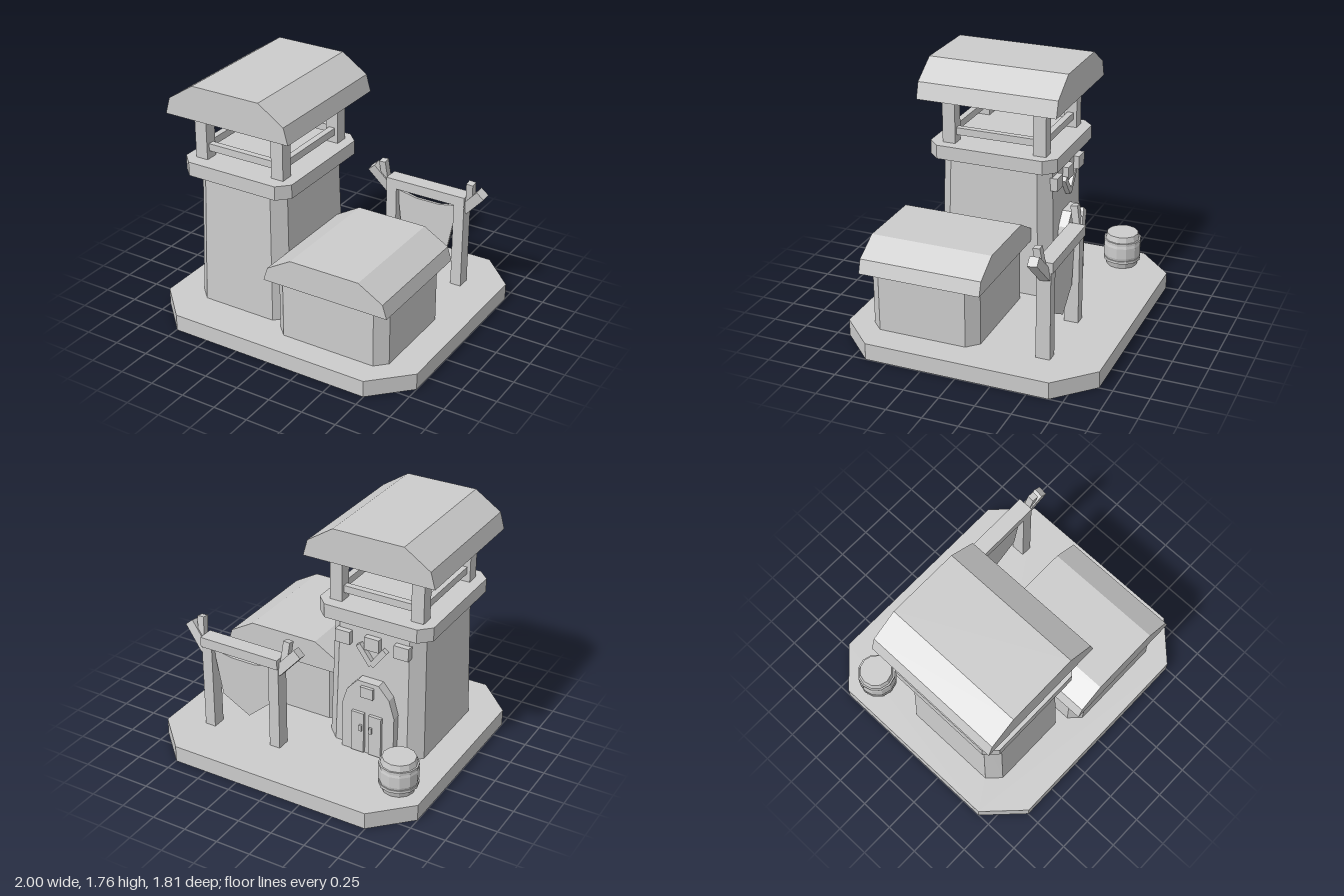
import * as THREE from 'three';

const stone = new THREE.MeshStandardMaterial({ color: 0xcccccc, flatShading: true, side: THREE.DoubleSide });
stone.name = 'pale grey';

function add(parent, name, geometry, x = 0, y = 0, z = 0) {
  const m = new THREE.Mesh(geometry, stone);
  m.name = name;
  m.position.set(x, y, z);
  parent.add(m);
  return m;
}

// Box given by its limits on each axis
function box(parent, name, x0, x1, y0, y1, z0, z1) {
  return add(parent, name, new THREE.BoxGeometry(x1 - x0, y1 - y0, z1 - z0),
    (x0 + x1) / 2, (y0 + y1) / 2, (z0 + z1) / 2);
}

function extrude(points, depth) {
  const shape = new THREE.Shape(points.map(([x, y]) => new THREE.Vector2(x, y)));
  return new THREE.ExtrudeGeometry(shape, { depth, bevelEnabled: false });
}

// Upright block with cut corners; the top may be narrower than the foot
function cutBlock(w, d, cut, height, topX = 1, topZ = 1) {
  const a = w - cut, b = d - cut;
  const g = extrude([[a, -d], [w, -b], [w, b], [a, d], [-a, d], [-w, b], [-w, -b], [-a, -d]], height);
  g.rotateX(-Math.PI / 2);
  const p = g.attributes.position;
  for (let i = 0; i < p.count; i++) {
    if (p.getY(i) > height / 2) {
      p.setX(i, p.getX(i) * topX);
      p.setZ(i, p.getZ(i) * topZ);
    }
  }
  g.computeVertexNormals();
  return g;
}

// Drops the triangles lying flat on the ground, leaving the block hollow underneath
function openBelow(block) {
  const p = block.attributes.position, kept = [];
  for (let i = 0; i < p.count; i += 3) {
    if (p.getY(i) + p.getY(i + 1) + p.getY(i + 2) < 1e-4) continue;
    for (let k = i; k < i + 3; k++) kept.push(p.getX(k), p.getY(k), p.getZ(k));
  }
  const g = new THREE.BufferGeometry();
  g.setAttribute('position', new THREE.Float32BufferAttribute(kept, 3));
  g.computeVertexNormals();
  return g;
}

// Roof with two slopes on each side and a flat top, running along z
function roof(parent, name, cx, half, y, heights, z0, z1) {
  const [e, k, t] = half, [y1, y2] = heights;
  const g = extrude([[-e, y], [e, y], [k, y1], [t, y2], [-t, y2], [-k, y1]], z1 - z0);
  return add(parent, name, g, cx, 0, z0);
}

// Squared timber running between two points
function timber(parent, name, from, to, width, depth) {
  const a = new THREE.Vector3(...from), b = new THREE.Vector3(...to);
  const m = add(parent, name, new THREE.BoxGeometry(width, a.distanceTo(b), depth));
  m.position.copy(a).add(b).multiplyScalar(0.5);
  m.quaternion.setFromUnitVectors(new THREE.Vector3(0, 1, 0), b.sub(a).normalize());
  return m;
}

function group(root, name) {
  const g = new THREE.Group();
  g.name = name;
  root.add(g);
  return g;
}

export function createModel() {
  const root = new THREE.Group();
  root.name = 'watchtower';
  add(root, 'base', openBelow(cutBlock(1, 0.907, 0.253, 0.12)));

  // Tower with platform, open lookout and roof
  const tower = group(root, 'tower');
  const cx = -0.425, cz = 0.18;
  add(tower, 'towerWalls', cutBlock(0.365, 0.432, 0.088, 0.96, 0.94, 0.935), cx, 0.12, cz);
  add(tower, 'platform', cutBlock(0.425, 0.473, 0.081, 0.1), cx, 1.08, cz);
  for (const s of [-1, 1]) {
    for (const t of [-1, 1]) {
      add(tower, 'lookoutPost', new THREE.BoxGeometry(0.092, 0.34, 0.094), cx + s * 0.303, 1.35, cz - 0.005 + t * 0.337);
    }
    add(tower, 'sideRail', new THREE.BoxGeometry(0.045, 0.052, 0.59), cx + s * 0.303, 1.264, cz - 0.005);
    add(tower, 'crossRail', new THREE.BoxGeometry(0.53, 0.052, 0.045), cx, 1.264, cz - 0.005 + s * 0.337);
  }
  roof(tower, 'towerRoof', cx, [0.48, 0.447, 0.258], 1.52, [1.637, 1.762], -0.33, 0.69);

  // Arched doorway on the back of the tower
  const door = group(root, 'doorway');
  add(door, 'doorFrame', extrude([[-0.2, 0.12], [0.2, 0.12], [0.2, 0.46], [0.16, 0.59], [0.08, 0.68],
    [-0.08, 0.68], [-0.16, 0.59], [-0.2, 0.46]], 0.13), cx, 0, -0.305);
  box(door, 'keystone', cx - 0.047, cx + 0.047, 0.57, 0.65, -0.328, -0.3);
  for (const s of [-1, 1]) {
    add(door, 'doorLeaf', new THREE.BoxGeometry(0.095, 0.31, 0.03), cx + s * 0.066, 0.285, -0.312);
    add(door, 'doorHandle', new THREE.BoxGeometry(0.02, 0.045, 0.02), cx + s * 0.038, 0.33, -0.333);
    timber(door, 'wallBrace', [cx, 0.795, -0.252], [cx + s * 0.1, 0.93, -0.252], 0.04, 0.035);
  }
  for (const i of [-1, 0, 1]) {
    box(door, 'wallBlock', cx + i * 0.22 - 0.055, cx + i * 0.22 + 0.055, 0.905, 1, -0.267, -0.19);
  }

  // Low house
  const house = group(root, 'house');
  add(house, 'houseWalls', cutBlock(0.425, 0.393, 0.078, 0.42), 0.365, 0.12, 0.333);
  roof(house, 'houseRoof', 0.365, [0.468, 0.437, 0.257], 0.538, [0.635, 0.74], -0.105, 0.77);

  // Gate frame with forked ends
  const frame = group(root, 'bannerFrame');
  const fx = 0.427;
  box(frame, 'beam', fx - 0.308, fx + 0.308, 0.752, 0.825, -0.573, -0.458);
  for (const s of [-1, 1]) {
    add(frame, 'framePost', new THREE.BoxGeometry(0.08, 0.635, 0.1), fx + s * 0.268, 0.4375, -0.51);
    timber(frame, 'forkArm', [fx + s * 0.29, 0.72, -0.52], [fx + s * 0.432, 0.88, -0.488], 0.07, 0.07);
    timber(frame, 'forkTip', [fx + s * 0.335, 0.8, -0.505], [fx + s * 0.345, 0.943, -0.482], 0.05, 0.05);
  }

  // Torn hanging cloth
  add(frame, 'banner', extrude([[0.19, 0.73], [0.225, 0.42], [0.39, 0.275], [0.6, 0.39],
    [0.665, 0.73], [0.52, 0.7], [0.34, 0.7]], 0.02), 0, 0, -0.52);

  // Barrel with two hoops
  const barrel = group(root, 'barrel');
  barrel.position.set(-0.798, 0.12, -0.545);
  const lathe = (pts) => new THREE.LatheGeometry(pts.map(([r, y]) => new THREE.Vector2(r, y)), 12);
  add(barrel, 'barrelBody', lathe([[0, 0], [0.112, 0], [0.136, 0.085], [0.136, 0.165], [0.115, 0.25], [0, 0.25]]));
  for (const y of [0.045, 0.187]) {
    add(barrel, 'hoop', lathe([[0.1, y], [0.137, y], [0.137, y + 0.02], [0.1, y + 0.02]]));
  }
  return root;
}
